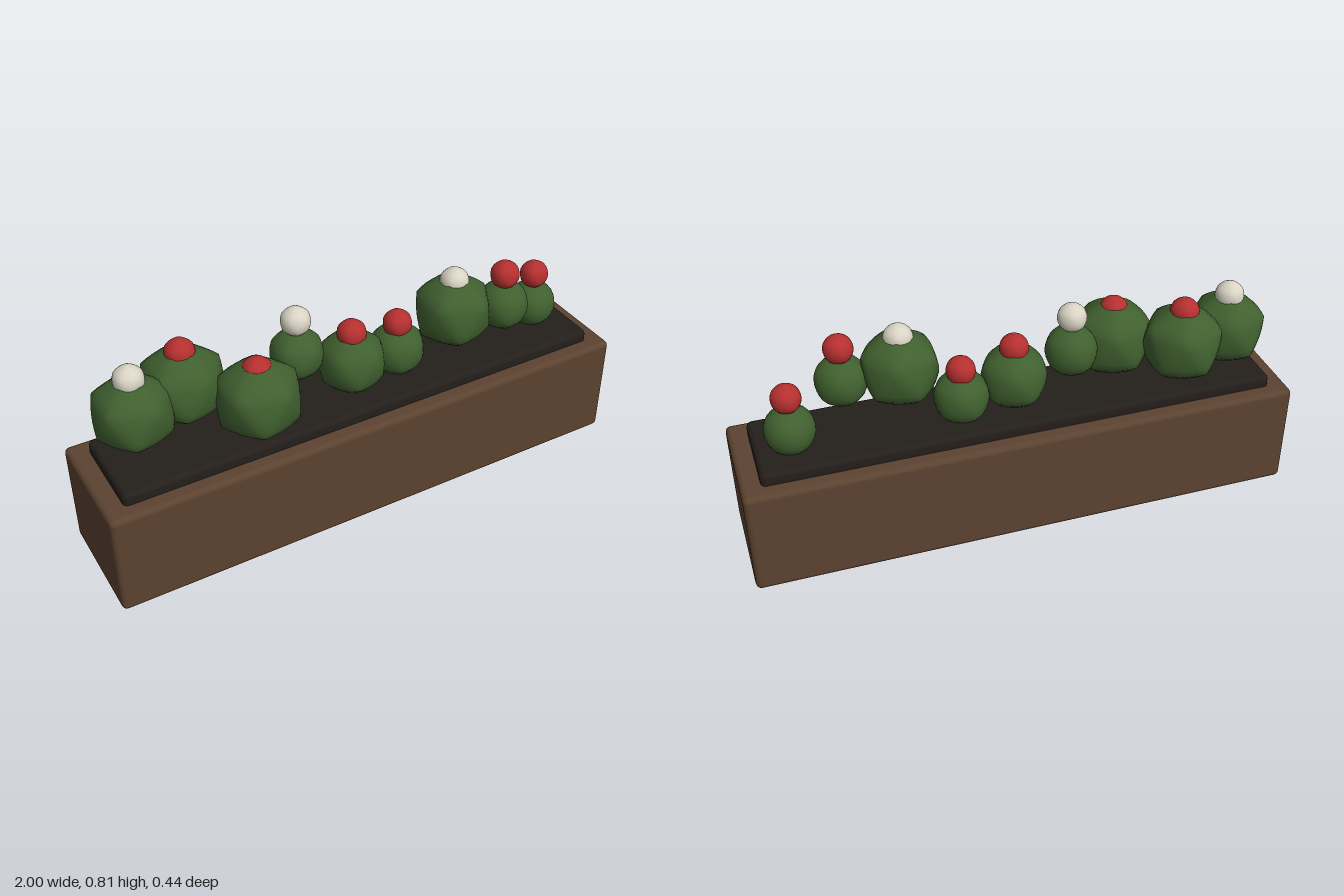
import * as THREE from 'three';
import { mergeVertices } from 'three/addons/utils/BufferGeometryUtils.js';
import { RoundedBoxGeometry } from 'three/addons/geometries/RoundedBoxGeometry.js';

const paint = (color) => new THREE.MeshStandardMaterial({ color });
const wood = paint(0x5c4330);
const earth = paint(0x241f1b);
const green = paint(0x40602f);
const red = paint(0xb5302f);
const cream = paint(0xd9d4c4);

// Pole-up icosahedron softened towards a sphere: roundness 0 is faceted, 1 is a ball
function softIcosahedron(radius, roundness) {
  const faces = new THREE.IcosahedronGeometry(1, 0).attributes.normal;
  const corners = new THREE.IcosahedronGeometry(1, 0).attributes.position;
  const normals = [];
  for (let i = 0; i < corners.count; i += 3) {
    const n = new THREE.Vector3();
    for (let k = 0; k < 3; k++) n.add(new THREE.Vector3().fromBufferAttribute(corners, i + k));
    normals.push(n.normalize());
  }
  let geo = new THREE.IcosahedronGeometry(1, 4);
  geo.deleteAttribute('normal');
  geo.deleteAttribute('uv');
  geo = mergeVertices(geo, 1e-4);
  const pos = geo.attributes.position;
  const v = new THREE.Vector3();
  for (let i = 0; i < pos.count; i++) {
    v.fromBufferAttribute(pos, i).normalize();
    const flat = 0.7947 / Math.max(...normals.map((n) => n.dot(v)));
    v.multiplyScalar(radius * THREE.MathUtils.lerp(flat, 1, roundness));
    pos.setXYZ(i, v.x, v.y, v.z);
  }
  geo.rotateZ(-Math.atan(2 / (1 + Math.sqrt(5))));
  geo.computeVertexNormals();
  return geo;
}

function add(parent, name, geometry, material, x, y, z) {
  const mesh = new THREE.Mesh(geometry, material);
  mesh.name = name;
  mesh.position.set(x, y, z);
  parent.add(mesh);
}

export function createModel() {
  const model = new THREE.Group();
  model.name = 'cactusPlanter';

  // Wooden trough and raised soil bed
  add(model, 'planterBox', new RoundedBoxGeometry(2, 0.4, 0.44, 2, 0.02), wood, 0, 0.2, -0.001);
  add(model, 'soilBed', new RoundedBoxGeometry(1.86, 0.12, 0.33, 2, 0.02), earth, 0, 0.384, -0.001);

  // Cacti: x, y, z, radius, roundness, bloom height, bloom colour
  const cacti = [
    [-0.8, 0.605, -0.03, 0.146, 0.38, 0.735, cream],
    [-0.6, 0.612, -0.085, 0.153, 0.38, 0.735, red],
    [-0.4, 0.58, 0.075, 0.156, 0.38, 0.69, red],
    [-0.2, 0.625, -0.03, 0.097, 0.75, 0.757, cream],
    [0, 0.54, 0, 0.126, 0.55, 0.655, red],
    [0.2, 0.51, -0.022, 0.103, 0.7, 0.617, red],
    [0.4, 0.64, 0.03, 0.147, 0.4, 0.757, cream],
    [0.6, 0.613, 0.057, 0.096, 0.75, 0.738, red],
    [0.8, 0.508, -0.024, 0.09, 0.9, 0.634, red],
  ];
  const bloom = softIcosahedron(0.054, 0.8);
  cacti.forEach(([x, y, z, radius, roundness, bloomY, colour], i) => {
    const cactus = new THREE.Group();
    cactus.name = `cactus${i + 1}`;
    add(cactus, 'cactusBody', softIcosahedron(radius, roundness), green, x, y, z);
    add(cactus, 'bloom', bloom, colour, x, bloomY, z);
    model.add(cactus);
  });
  return model;
}
